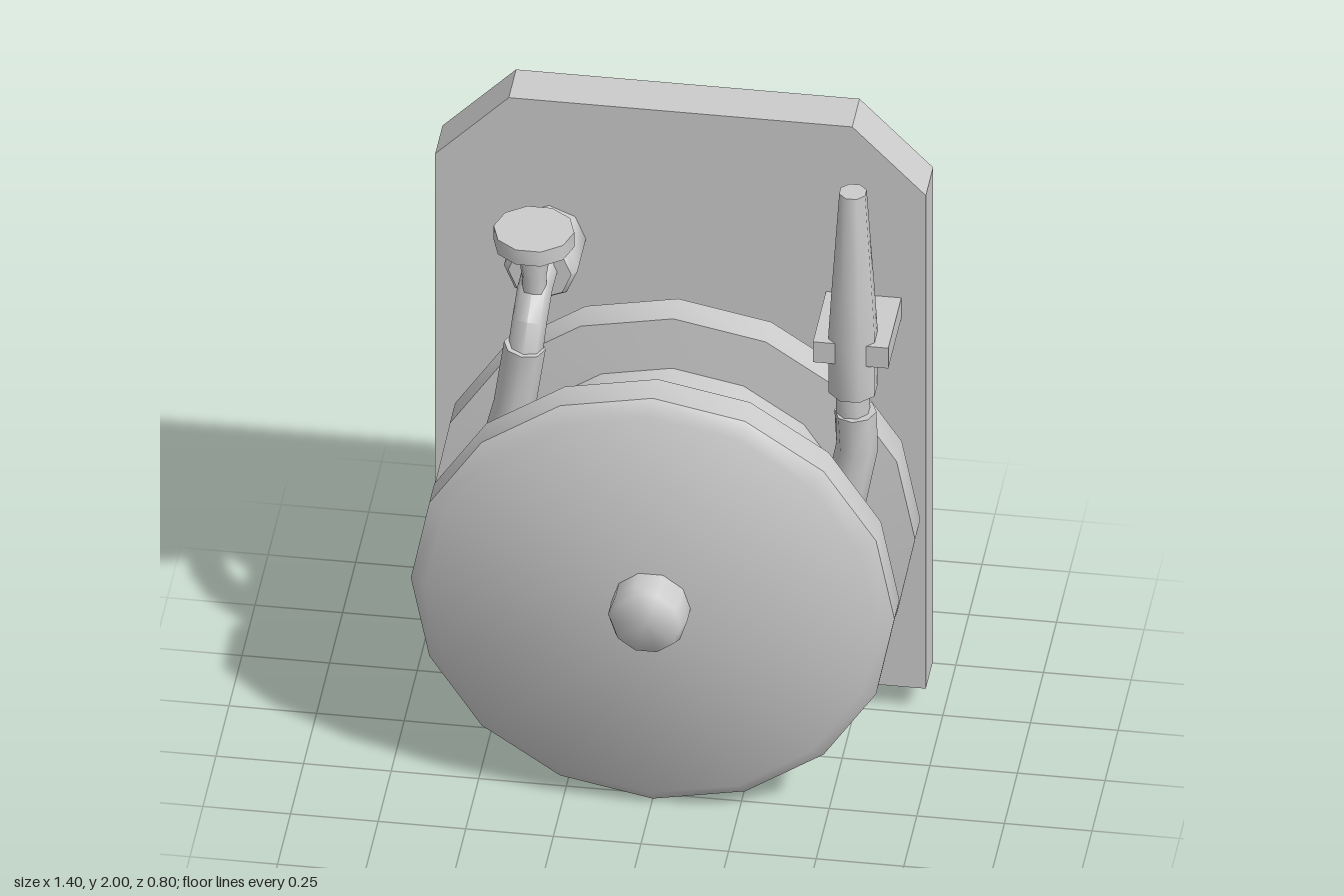
import * as THREE from 'three';
import { toCreasedNormals } from 'three/addons/utils/BufferGeometryUtils.js';

const solid = new THREE.MeshStandardMaterial({ color: 0xcccccc });
const sheet = new THREE.MeshStandardMaterial({ color: 0xcccccc, side: THREE.DoubleSide });
const v2 = (p) => new THREE.Vector2(p[0], p[1]);

function addMesh(parent, name, geometry, material = solid) {
  const mesh = new THREE.Mesh(geometry, material);
  mesh.name = name;
  parent.add(mesh);
  return mesh;
}

// Turned part: profile is [radius, height] from bottom to top
function turned(profile, sides, start = 0, crease = 0.9) {
  return toCreasedNormals(new THREE.LatheGeometry(profile.map(v2), sides, start), crease);
}

// Turned part whose axis points to the front
function turnedForward(profile, sides, start, crease) {
  return turned(profile, sides, start, crease).rotateX(Math.PI / 2);
}

// Regular polygon hole outline
function polygonHole(x, y, r, sides) {
  const points = [];
  for (let i = 0; i < sides; i++) {
    const a = (i / sides) * Math.PI * 2;
    points.push(new THREE.Vector2(x + r * Math.cos(a), y + r * Math.sin(a)));
  }
  return new THREE.Path(points);
}

// Pipe made of straight pieces with mitred joints and closed ends
function pipe(points, radius, sides = 8) {
  const curve = new THREE.CurvePath();
  const p = points.map((q) => new THREE.Vector3(...q));
  for (let i = 1; i < p.length; i++) curve.add(new THREE.LineCurve3(p[i - 1], p[i]));
  const position = [], index = [];
  const side = new THREE.Vector3(1, 0, 0);
  p.forEach((c, i) => {
    const t = p[Math.min(i + 1, p.length - 1)].clone().sub(p[Math.max(i - 1, 0)]).normalize();
    const u = side.clone().addScaledVector(t, -side.dot(t)).normalize();
    const w = t.clone().cross(u);
    for (let j = 0; j < sides; j++) {
      const a = (j / sides) * Math.PI * 2;
      const q = c.clone().addScaledVector(u, radius * Math.cos(a)).addScaledVector(w, radius * Math.sin(a));
      position.push(q.x, q.y, q.z);
      if (i > 0) {
        const k = (j + 1) % sides, b = (i - 1) * sides, d = i * sides;
        index.push(b + j, b + k, d + k, b + j, d + k, d + j);
      }
    }
  });
  const last = (p.length - 1) * sides;
  for (let j = 1; j < sides - 1; j++) {
    index.push(0, j + 1, j, last, last + j, last + j + 1);
  }
  const geometry = new THREE.BufferGeometry();
  geometry.setAttribute('position', new THREE.Float32BufferAttribute(position, 3));
  geometry.setIndex(index);
  return toCreasedNormals(geometry, 0.9);
}

// Wall of flat strips along a closed outline, from z0 back to z1
function rim(outline, z0, z1) {
  const position = [];
  outline.forEach(([x, y], i) => {
    const [u, v] = outline[(i + 1) % outline.length];
    position.push(x, y, z0, x, y, z1, u, v, z1, x, y, z0, u, v, z1, u, v, z0);
  });
  const geometry = new THREE.BufferGeometry();
  geometry.setAttribute('position', new THREE.Float32BufferAttribute(position, 3));
  geometry.computeVertexNormals();
  return geometry;
}

const rectangle = (x0, y0, x1, y1) => [[x0, y0], [x1, y0], [x1, y1], [x0, y1]];

export function createModel() {
  const model = new THREE.Group();
  model.name = 'wallHoseReel';
  const wallZ = -0.26;

  // Hollow wall panel, open at the back, with clipped top corners
  const panel = new THREE.Group();
  panel.name = 'wallPanel';
  model.add(panel);
  const outline = [[-0.7, 0.085], [0.7, 0.085], [0.7, 1.785], [0.49, 2], [-0.49, 2], [-0.7, 1.785]];
  const bracketOutline = rectangle(0.415, 1.355, 0.63, 1.425);
  const face = new THREE.Shape(outline.map(v2));
  face.holes.push(
    polygonHole(0, 0.7, 0.113, 10),
    polygonHole(-0.375, 1.535, 0.105, 8),
    new THREE.Path(bracketOutline.map(v2))
  );
  addMesh(panel, 'panelFace', new THREE.ShapeGeometry(face).translate(0, 0, wallZ), sheet);
  addMesh(panel, 'panelRim', rim(outline, wallZ, -0.4), sheet);

  // Reel: rear flange, drum and rounded front flange
  const reel = new THREE.Group();
  reel.name = 'reel';
  reel.position.y = 0.695;
  model.add(reel);
  addMesh(reel, 'drumAndFlanges', turnedForward([
    [0, -0.22], [0.69, -0.22], [0.69, -0.12], [0.53, -0.105],
    [0.53, 0.165], [0.69, 0.18], [0.69, 0.275], [0.645, 0.31], [0, 0.31]
  ], 16));
  addMesh(reel, 'axle', turnedForward(
    [[0.113, wallZ], [0.113, 0.37], [0.1, 0.4], [0, 0.4]], 10, Math.PI / 2, 1.2), sheet);

  // Water inlet with valve and handwheel
  const valve = new THREE.Group();
  valve.name = 'inletValve';
  model.add(valve);
  addMesh(valve, 'inletPipe', turnedForward(
    [[0.105, wallZ], [0.105, -0.1], [0.09, -0.08], [0, -0.08]], 8), sheet)
    .position.set(-0.375, 1.535, 0);
  addMesh(valve, 'elbowPipe', pipe([
    [-0.375, 1.54, -0.1], [-0.375, 1.545, 0.01], [-0.38, 1.48, 0.085], [-0.39, 1.38, 0.105]
  ], 0.05));
  addMesh(valve, 'valveStem', turned([[0, 1.52], [0.035, 1.52], [0.035, 1.6], [0.052, 1.71], [0, 1.71]], 8))
    .position.set(-0.375, 0, 0.03);
  addMesh(valve, 'handwheel', turned([[0, 1.71], [0.115, 1.71], [0.115, 1.76], [0, 1.76]], 10, Math.PI / 2))
    .position.set(-0.375, 0, 0.03);
  addMesh(valve, 'feedHose', pipe([
    [-0.39, 1.41, 0.105], [-0.42, 1.2, 0.105], [-0.475, 0.98, 0.105], [-0.46, 0.78, 0.105]
  ], 0.06));

  // Nozzle held in a bracket, with the hose end running onto the drum
  const nozzle = new THREE.Group();
  nozzle.name = 'nozzleAssembly';
  model.add(nozzle);
  addMesh(nozzle, 'bracketSides', rim(bracketOutline, -0.01, wallZ), sheet);
  addMesh(nozzle, 'bracketFront',
    new THREE.ShapeGeometry(new THREE.Shape(bracketOutline.map(v2))).translate(0, 0, -0.01), sheet);
  addMesh(nozzle, 'nozzle', turned([
    [0, 1.1], [0.05, 1.1], [0.05, 1.24], [0.071, 1.24], [0.071, 1.45],
    [0.063, 1.58], [0.04, 1.92], [0, 1.92]
  ], 8, Math.PI / 8)).position.set(0.522, 0, -0.058);
  addMesh(nozzle, 'hoseEnd', pipe([
    [0.53, 1.17, -0.053], [0.535, 1.05, -0.053], [0.5, 0.86, -0.053], [0.46, 0.72, -0.053]
  ], 0.06));

  return model;
}
